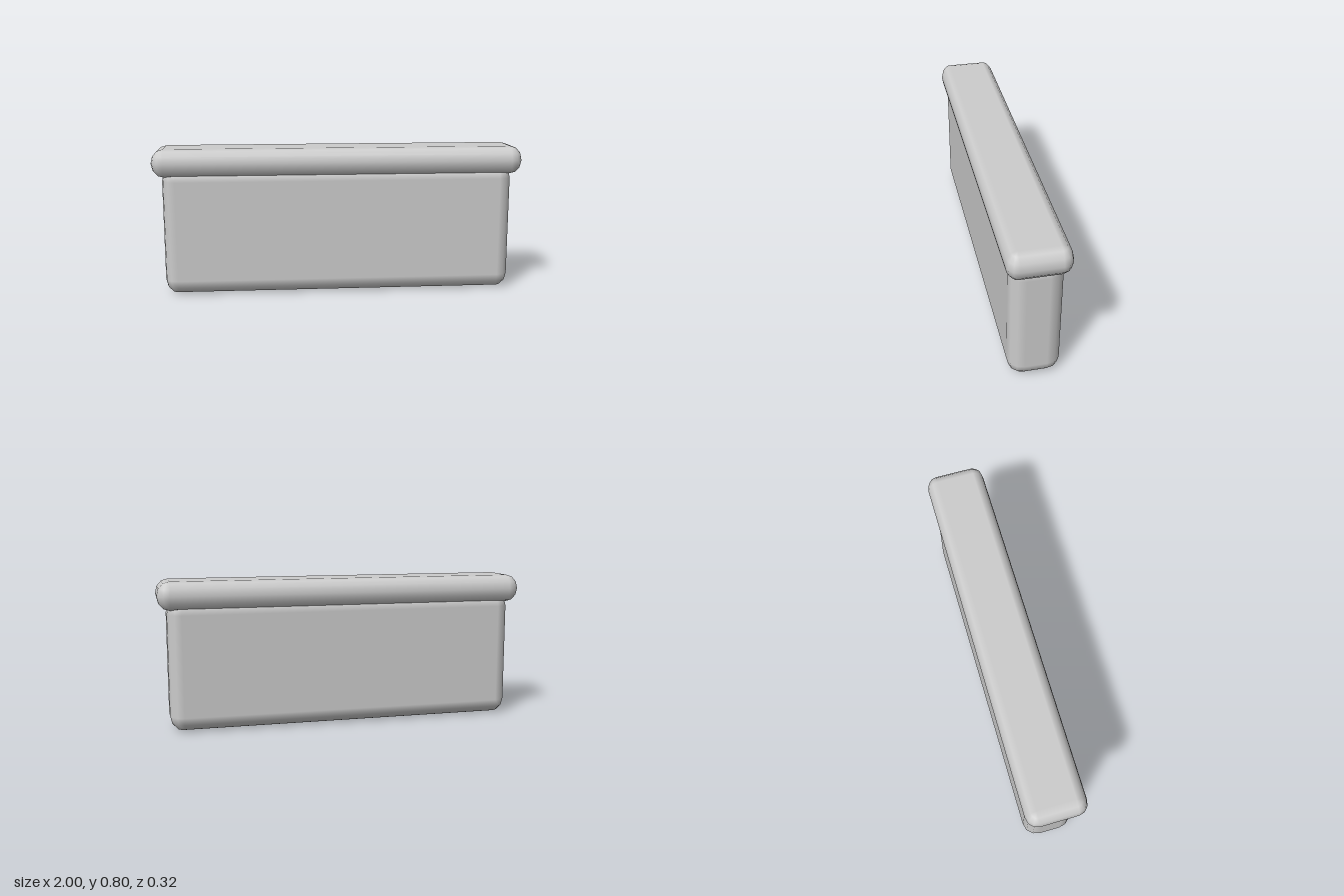
import * as THREE from 'three';

const STEPS = 3; // bevel segments per quarter turn

// Box with rounded edges: size [x, y, z], bevel radius per axis [x, y, z], resting on y = 0
function roundedBox(size, radius) {
  const [rx, ry, rz] = radius;
  const [cx, cy, cz] = size.map((s, i) => s / 2 - radius[i]);
  const pos = [], nor = [], index = [];
  const ring = 4 * (STEPS + 1), rows = 2 * (STEPS + 1);
  const n = new THREE.Vector3();

  // Stacked rings from the bottom to the top, each with four rounded corners
  for (let r = 0; r < rows; r++) {
    const upper = r > STEPS;
    const lat = ((r - (upper ? STEPS + 1 : STEPS)) / STEPS) * Math.PI / 2;
    for (let q = 0; q < 4; q++) {
      const sx = q === 0 || q === 3 ? 1 : -1, sz = q < 2 ? 1 : -1;
      for (let s = 0; s <= STEPS; s++) {
        const a = (q + s / STEPS) * Math.PI / 2;
        const x = Math.cos(lat) * Math.cos(a), y = Math.sin(lat), z = Math.cos(lat) * Math.sin(a);
        pos.push(sx * cx + rx * x, size[1] / 2 + (upper ? cy : -cy) + ry * y, sz * cz + rz * z);
        n.set(x / rx, y / ry, z / rz).normalize();
        nor.push(n.x, n.y, n.z);
      }
    }
  }
  for (let r = 0; r < rows - 1; r++) {
    for (let i = 0; i < ring; i++) {
      const j = (i + 1) % ring, a = r * ring, b = a + ring;
      index.push(a + i, b + i, b + j, a + i, b + j, a + j);
    }
  }
  // Flat bottom and top
  const k = STEPS + 1, t = (rows - 1) * ring;
  index.push(0, k, 2 * k, 0, 2 * k, 3 * k);
  index.push(t, t + 2 * k, t + k, t, t + 3 * k, t + 2 * k);

  const g = new THREE.BufferGeometry();
  g.setAttribute('position', new THREE.Float32BufferAttribute(pos, 3));
  g.setAttribute('normal', new THREE.Float32BufferAttribute(nor, 3));
  g.setIndex(index);
  return g;
}

export function createModel() {
  const group = new THREE.Group();
  group.name = 'cappedWall';
  const stone = new THREE.MeshStandardMaterial({ name: 'light grey stone', color: 0xcccccc });

  // Upright slab, its top edge tucked inside the coping
  const slab = new THREE.Mesh(roundedBox([1.9, 0.7, 0.266], [0.072, 0.08, 0.078]), stone);
  slab.name = 'wallSlab';

  // Overhanging rounded coping
  const coping = new THREE.Mesh(roundedBox([2, 0.15, 0.316], [0.065, 0.075, 0.058]), stone);
  coping.name = 'coping';
  coping.position.y = 0.645;

  group.add(slab, coping);
  return group;
}
